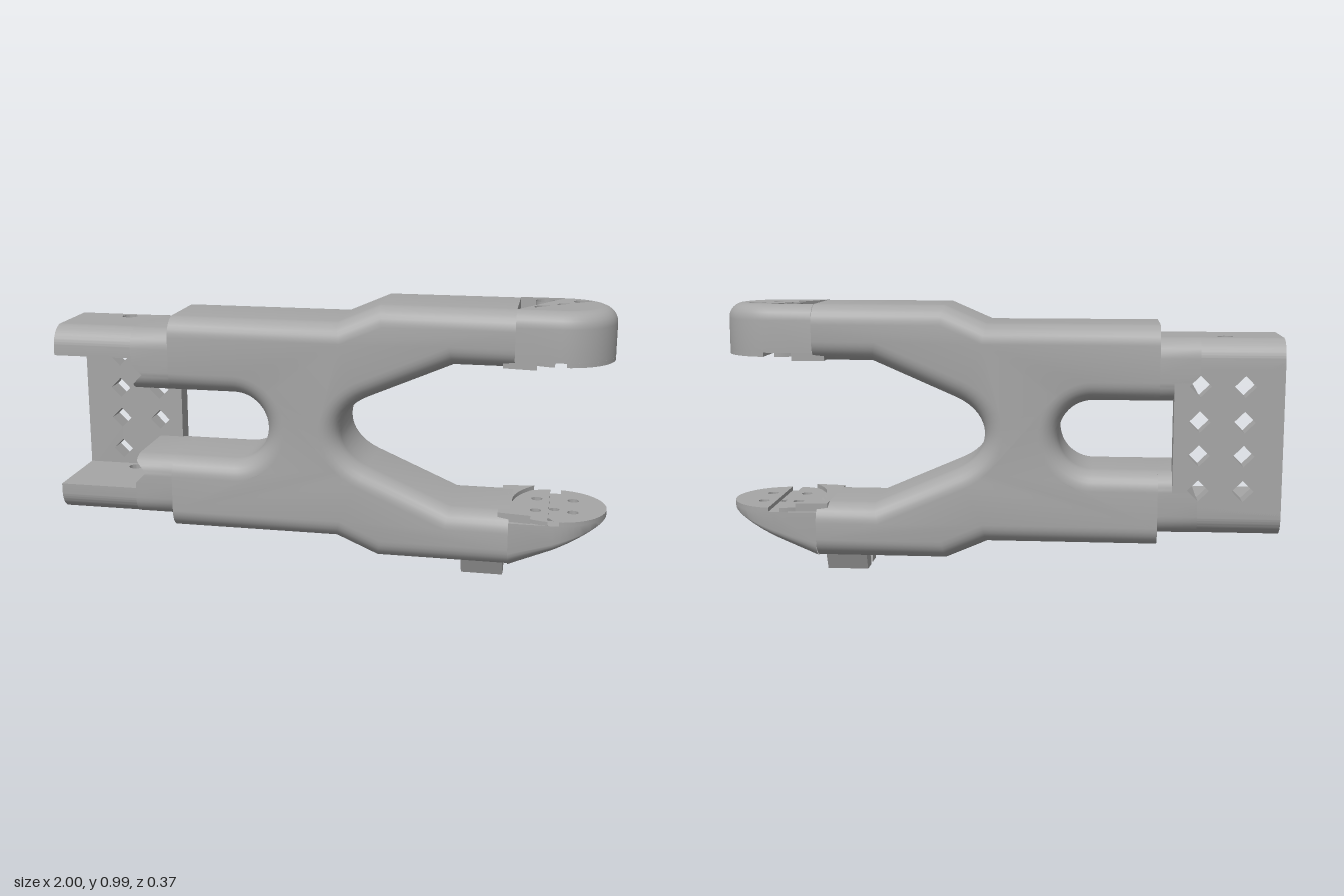
import * as THREE from 'three';
import { toCreasedNormals } from 'three/addons/utils/BufferGeometryUtils.js';

const HALF = 0.185;      // half width of the link
const ROUND = 0.07;      // edge rounding
const MID = 0.525;       // height of the symmetry plane
const TIP = 0.815;       // centre of the rounded tips

export function createModel() {
  const group = new THREE.Group();
  group.name = 'gripperLink';
  const grey = new THREE.MeshStandardMaterial({ color: 0xa6a6a6, side: THREE.DoubleSide });
  grey.name = 'grey';

  const add = (name, geometry, lower = false) => {
    const g = geometry.clone();
    // lower parts are the upper ones turned over about the middle
    if (lower) g.rotateX(Math.PI).translate(0, 2 * MID, 0);
    const mesh = new THREE.Mesh(toCreasedNormals(g, 0.6), grey);
    mesh.name = name;
    group.add(mesh);
  };

  const polygon = (pts) => new THREE.Shape(pts.map(([x, y]) => new THREE.Vector2(x, y)));
  const circle = (x, y, r) => new THREE.Path().absarc(x, y, r, 0, Math.PI * 2, true);
  const flat = (shape, depth) =>
    new THREE.ExtrudeGeometry(shape, { depth, bevelEnabled: false, curveSegments: 20 });
  // plan drawn in x and z, raised from y0 to y1
  const slab = (shape, y0, y1) => flat(shape, y1 - y0).rotateX(Math.PI / 2).translate(0, y1, 0);
  // section drawn in z and y, run from x0 to x1
  const rail = (shape, x0, x1) => flat(shape, x1 - x0).rotateY(Math.PI / 2).translate(x0, 0, 0);
  const moveVertices = (g, rule) => {
    const p = g.attributes.position, v = new THREE.Vector3();
    for (let i = 0; i < p.count; i++) {
      rule(v.fromBufferAttribute(p, i));
      p.setXYZ(i, v.x, v.y, v.z);
    }
    return g;
  };

  // Forked body with rounded edges and open square ends
  const body = new THREE.Shape();
  body.moveTo(-0.57, 0.13);
  body.lineTo(0.04, 0.13);
  body.lineTo(0.19, 0.065);
  body.lineTo(0.66, 0.065);
  body.lineTo(0.66, 0.265);
  body.lineTo(0.45, 0.265);
  body.lineTo(0.15, 0.395);
  body.bezierCurveTo(0.015, 0.455, 0.015, 0.595, 0.15, 0.655);
  body.lineTo(0.45, 0.785);
  body.lineTo(0.66, 0.785);
  body.lineTo(0.66, 0.985);
  body.lineTo(0.19, 0.985);
  body.lineTo(0.04, 0.92);
  body.lineTo(-0.57, 0.92);
  body.lineTo(-0.57, 0.65);
  body.lineTo(-0.34, 0.65);
  body.absarc(-0.34, MID, 0.125, Math.PI / 2, -Math.PI / 2, true);
  body.lineTo(-0.57, 0.4);
  const bodyGeo = new THREE.ExtrudeGeometry(body, {
    depth: 2 * (HALF - ROUND), bevelThickness: ROUND, bevelSize: ROUND,
    bevelOffset: -ROUND, bevelSegments: 7, curveSegments: 16,
  }).translate(0, 0, ROUND - HALF);
  add('forkBody', moveVertices(bodyGeo, (v) => {
    if (v.x < -0.45) v.x = -0.57;
    if (v.x > 0.55) v.x = 0.66;
  }));

  // Stubs reaching into the channel, each notched at a diamond hole
  const rows = [0.672, 0.71, 0.748];
  for (let i = 0; i <= 6; i++) {
    const d = ROUND * (1 - Math.cos((i / 6) * Math.PI / 2));
    rows.push(0.65 + d, 0.875 - d);
  }
  rows.sort((a, b) => a - b);
  const n = rows.length - 1;
  const stub = moveVertices(new THREE.BoxGeometry(1, 1, 1, 1, n, 1), (v) => {
    v.y = rows[Math.round((v.y + 0.5) * n)];
    const d = Math.max(0, ROUND - Math.min(v.y - 0.65, 0.875 - v.y));
    v.z = Math.sign(v.z) * (HALF - ROUND + Math.sqrt(Math.max(0, ROUND * ROUND - d * d)));
    v.x = v.x < 0 ? -0.71 + Math.max(0, 0.04 - Math.abs(v.y - 0.71)) : -0.57;
  });

  // Rounded edge of the channel covers
  const edge = new THREE.Shape();
  edge.moveTo(0.11, 0.77);
  edge.lineTo(HALF, 0.77);
  edge.lineTo(HALF, 0.8);
  edge.absarc(0.11, 0.8, 0.075, 0, Math.PI / 2, false);
  const edgeGeo = rail(edge, -1, -0.57);

  for (const lower of [false, true]) {
    const side = lower ? 'lower' : 'upper';
    add(side + 'Stub', stub, lower);
    const cover = polygon([[-1, -0.11], [-0.57, -0.11], [-0.57, 0.11], [-1, 0.11]]);
    cover.holes.push(circle(-0.8, lower ? 0.075 : -0.075, 0.028));
    add(side + 'Cover', slab(cover, 0.77, 0.875), lower);
    add(side + 'CoverEdge', edgeGeo, lower);
    // turned half round, the same edge serves the other side
    const other = edgeGeo.clone().rotateY(Math.PI).translate(-1.57, 0, 0);
    add(side + 'CoverEdge', other, lower);
  }

  // Back wall of the channel with two columns of diamond holes
  const wall = polygon([[-1, 0.25], [-0.62, 0.25], [-0.62, 0.8], [-1, 0.8]]);
  for (const x of [-0.865, -0.71])
    for (const y of [0.34, 0.465, 0.585, 0.71])
      wall.holes.push(polygon([[x - 0.038, y], [x, y + 0.038], [x + 0.038, y], [x, y - 0.038]]));
  add('backWall', flat(wall, 0.07).translate(0, 0, -HALF));

  // Tips: holed core, rounded rim swept round it, and grooved pad
  const INNER = 0.13, Y0 = 0.815, Y1 = 0.985, X0 = 0.66;
  const boltHoles = (r) => {
    const list = [];
    for (const x of [TIP - 0.066, TIP + 0.066])
      for (const z of [-0.066, 0.066]) list.push(circle(x, z, r));
    return list;
  };
  const core = (r, centre) => {
    const s = new THREE.Shape();
    s.moveTo(X0, -INNER);
    s.absarc(TIP, 0, INNER, -Math.PI / 2, Math.PI / 2, false);
    s.lineTo(X0, INNER);
    s.holes.push(...boltHoles(r), circle(TIP, 0, centre));
    return s;
  };

  const rimGeometry = () => {
    const bevel = HALF - INNER;
    const section = [[INNER, Y0], [HALF, Y0]];
    for (let i = 0; i <= 6; i++) {
      const a = (i / 6) * Math.PI / 2;
      section.push([INNER + bevel * Math.cos(a), Y1 - bevel + bevel * Math.sin(a)]);
    }
    const stations = [[X0, 0]];
    for (let i = 0; i <= 24; i++) stations.push([TIP, (i / 24) * Math.PI]);
    stations.push([X0, Math.PI]);
    const pos = [], index = [], m = section.length;
    stations.forEach(([cx, t], i) => section.forEach(([r, y], j) => {
      pos.push(cx + r * Math.sin(t), y, r * Math.cos(t));
      if (i === stations.length - 1) return;
      const a = i * m + j, b = i * m + (j + 1) % m;
      index.push(a, a + m, b, b, a + m, b + m);
    }));
    const g = new THREE.BufferGeometry();
    g.setAttribute('position', new THREE.Float32BufferAttribute(pos, 3));
    g.setIndex(index);
    return g;
  };

  const padPart = (cut, front) => {
    const a = Math.acos((cut - TIP) / HALF), s = new THREE.Shape();
    if (front) s.absarc(TIP, 0, HALF, -a, a, false);
    else s.absarc(TIP, 0, HALF, a, 2 * Math.PI - a, false);
    const holes = boltHoles(0.02);
    s.holes.push(...(front ? holes.slice(2) : holes.slice(0, 2)));
    return s;
  };

  // Lip left around the pad recess
  const lip = new THREE.Shape();
  lip.moveTo(0.62, -0.16);
  lip.lineTo(0.735, -0.175);
  lip.quadraticCurveTo(0.59, 0, 0.735, 0.175);
  lip.lineTo(0.62, 0.16);

  for (const lower of [false, true]) {
    const side = lower ? 'lower' : 'upper';
    // the lower tip is cut away on a slope
    const slope = (g) => lower ? moveVertices(g, (v) => {
      const s = Math.min(1, Math.max(0.04, 1 - (v.x - 0.68) / 0.32 * 0.95));
      v.y = Y0 + (v.y - Y0) * s;
    }) : g;
    add(side + 'TipRim', slope(rimGeometry()), lower);
    add(side + 'TipInner', slope(slab(core(0.02, 0.018), Y0, Y0 + 0.06)), lower);
    add(side + 'TipOuter', slope(slab(core(0.034, 0.024), Y0 + 0.06, Y1)), lower);
    add(side + 'PadBack', slab(padPart(0.795, false), 0.8, Y0), lower);
    add(side + 'PadFront', slab(padPart(0.835, true), 0.8, Y0), lower);
    add(side + 'PadLip', slab(lip, 0.785, Y0), lower);
  }

  // Pair of small slanted feet under the lower arm
  for (const s of [1, -1]) {
    const foot = polygon([[0.02, 0], [0.08, 0], [0.115, 0.08], [0.05, 0.08], [0.02, 0.02]]
      .map(([z, y]) => [s * z, y]));
    add('foot', rail(foot, 0.49, 0.64));
  }
  return group;
}
